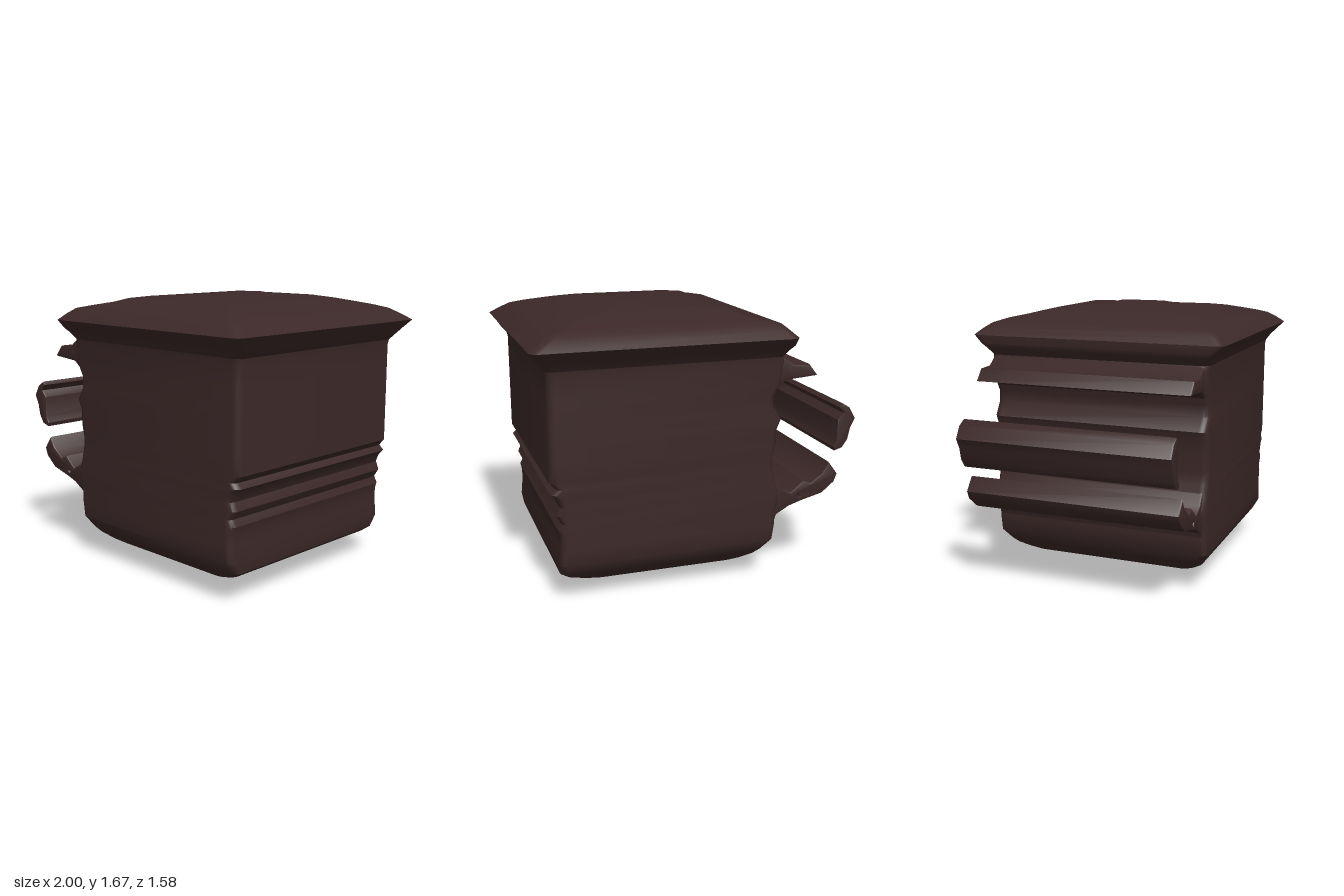
import * as THREE from 'three';
import { toCreasedNormals } from 'three/addons/utils/BufferGeometryUtils.js';

const darkBrown = new THREE.MeshStandardMaterial({ color: 0x3c2828 });
darkBrown.name = 'darkBrown';

// Rounded rectangle loop at one height, counter-clockwise seen from above
function ring([y, xl, xr, zh], steps = 4) {
  const r = Math.min(0.045, zh * 0.4, (xr - xl) * 0.3);
  const corners = [[xr - r, -zh + r], [xl + r, -zh + r], [xl + r, zh - r], [xr - r, zh - r]];
  const points = [];
  corners.forEach(([cx, cz], k) => {
    for (let i = 0; i <= steps; i++) {
      const a = (k + i / steps) * Math.PI / 2;
      points.push([cx + r * Math.cos(a), y, cz - r * Math.sin(a)]);
    }
  });
  return points;
}

// Skin stacked loops and close both ends
function loft(rows) {
  const loops = rows.map(row => ring(row));
  const n = loops[0].length;
  const index = [];
  for (let j = 0; j < loops.length - 1; j++) {
    for (let i = 0; i < n; i++) {
      const a = j * n + i, b = j * n + (i + 1) % n;
      index.push(a, b, b + n, a, b + n, a + n);
    }
  }
  const top = (loops.length - 1) * n;
  for (let i = 1; i < n - 1; i++) {
    index.push(0, i + 1, i);
    index.push(top, top + i, top + i + 1);
  }
  const g = new THREE.BufferGeometry();
  g.setAttribute('position', new THREE.Float32BufferAttribute(loops.flat(2), 3));
  g.setIndex(index);
  return toCreasedNormals(g, 0.6);
}

// Side outline swept across the depth of the handle
function sweep(outline, halfDepth, holes = []) {
  const shape = new THREE.Shape(outline.map(p => new THREE.Vector2(...p)));
  for (const [x, y] of holes) {
    shape.holes.push(new THREE.Path([[x - 0.01, y], [x, y + 0.015], [x + 0.01, y], [x, y - 0.015]]
      .map(p => new THREE.Vector2(...p))));
  }
  const bevel = 0.012;
  const g = new THREE.ExtrudeGeometry(shape, {
    depth: 2 * (halfDepth - bevel), bevelEnabled: true,
    bevelThickness: bevel, bevelSize: bevel, bevelOffset: -bevel, bevelSegments: 2,
  });
  g.translate(0, 0, -halfDepth + bevel);
  return toCreasedNormals(g, 0.7);
}

export function createModel() {
  const group = new THREE.Group();
  const add = (name, geometry) => {
    const mesh = new THREE.Mesh(geometry, darkBrown);
    mesh.name = name;
    group.add(mesh);
  };

  // Rows: height, left x, right x, half depth
  const base = [
    [0.00, 0.12, 0.29, 0.16], [0.03, 0.02, 0.42, 0.33], [0.05, -0.13, 0.55, 0.38],
    [0.08, -0.27, 0.62, 0.52], [0.11, -0.32, 0.70, 0.57], [0.15, -0.38, 0.80, 0.62],
    [0.18, -0.41, 0.84, 0.645], [0.25, -0.465, 0.85, 0.685],
  ];
  const walls = [
    [0.35, -0.48, 0.84, 0.685], [0.42, -0.48, 0.84, 0.685], [0.46, -0.49, 0.85, 0.685],
    [0.50, -0.50, 0.83, 0.685], [0.55, -0.50, 0.86, 0.685], [0.60, -0.48, 0.84, 0.685],
    [0.65, -0.47, 0.86, 0.685], [0.68, -0.46, 0.89, 0.685], [0.71, -0.455, 0.86, 0.685],
    [0.75, -0.45, 0.895, 0.685], [0.85, -0.47, 0.895, 0.685], [0.93, -0.47, 0.895, 0.685],
    [1.00, -0.50, 0.895, 0.685], [1.08, -0.45, 0.895, 0.685], [1.15, -0.45, 0.895, 0.685],
    [1.22, -0.49, 0.895, 0.685], [1.35, -0.51, 0.895, 0.685],
  ];
  const rim = [
    [1.38, -0.50, 0.90, 0.69], [1.42, -0.53, 0.935, 0.715], [1.45, -0.55, 0.955, 0.745],
    [1.50, -0.55, 0.995, 0.79], [1.54, -0.51, 0.93, 0.745], [1.57, -0.48, 0.88, 0.70],
    [1.59, -0.38, 0.80, 0.65], [1.61, -0.29, 0.73, 0.56], [1.63, -0.25, 0.64, 0.48],
    [1.645, -0.13, 0.51, 0.42], [1.655, 0.17, 0.38, 0.22], [1.67, 0.26, 0.31, 0.14],
  ];
  add('containerBody', loft([...base, ...walls, rim[0]]));
  add('flaredRim', loft(rim));

  // Broken handle: upper stub, floating grip and lower arm
  add('handleUpperStub', sweep([
    [-0.725, 1.25], [-0.53, 1.235], [-0.47, 1.19], [-0.40, 1.19], [-0.40, 1.39],
    [-0.51, 1.37], [-0.57, 1.325], [-0.67, 1.32],
  ], 0.665));
  add('handleGrip', sweep([
    [-1.0, 0.96], [-0.97, 0.90], [-0.955, 0.83], [-0.92, 0.78], [-0.87, 0.765], [-0.86, 0.79],
    [-0.88, 0.83], [-0.88, 0.96], [-0.92, 1.0], [-0.885, 1.04], [-0.91, 1.06], [-0.96, 1.03],
  ], 0.65));
  add('handleLowerArm', sweep([
    [-0.89, 0.62], [-0.87, 0.57], [-0.79, 0.505], [-0.65, 0.47], [-0.57, 0.445], [-0.49, 0.40],
    [-0.47, 0.34], [-0.40, 0.34], [-0.40, 0.65], [-0.47, 0.64], [-0.51, 0.57], [-0.58, 0.535],
    [-0.66, 0.60], [-0.71, 0.58], [-0.79, 0.635], [-0.83, 0.70],
  ], 0.66, [[-0.63, 0.505]]));

  return group;
}
